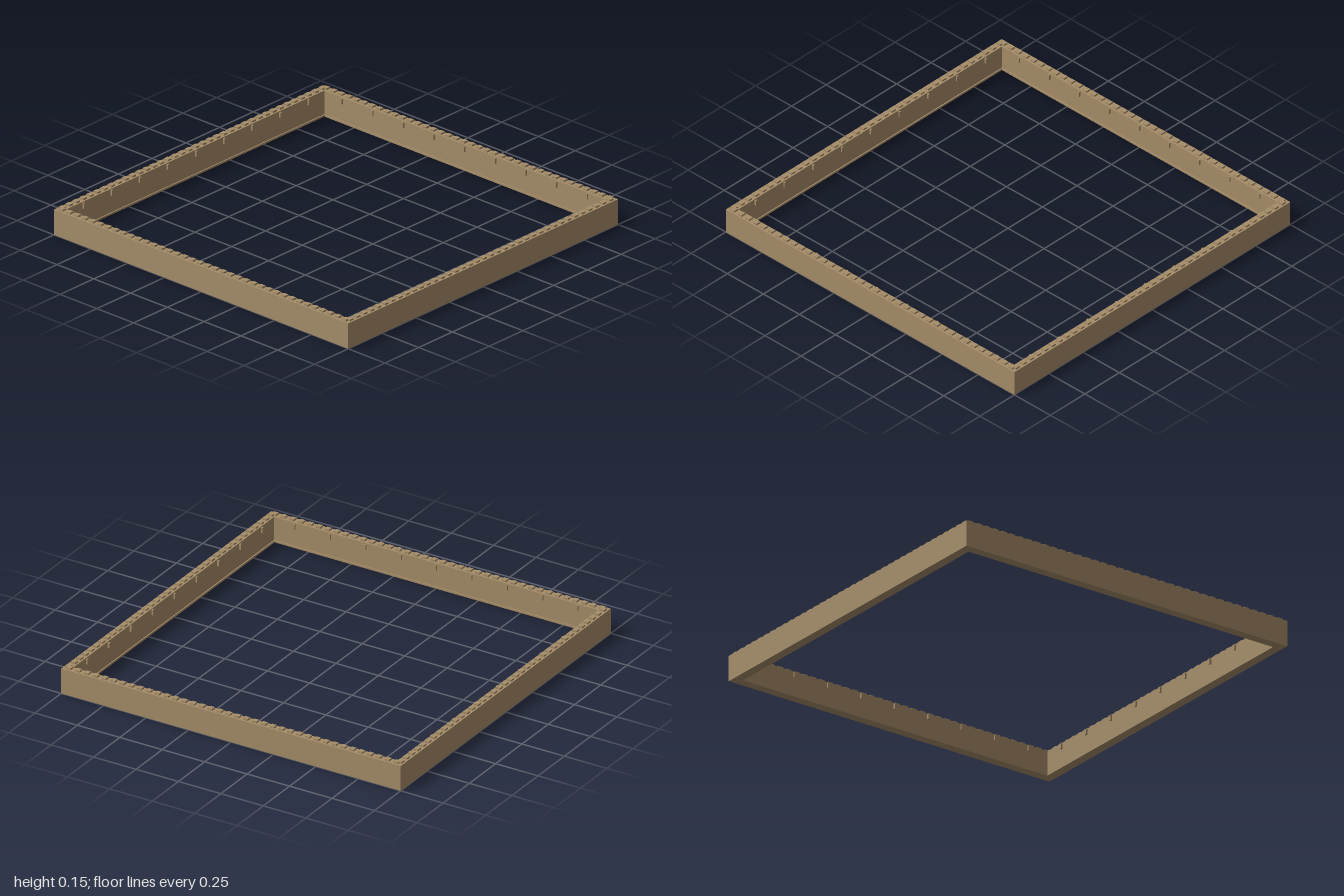
import * as THREE from 'three';

const HALF = 1, WALL = 0.045, HEIGHT = 0.14, PITCH = 0.0521;

// Square ring lying in the ground plane, extruded upwards
function squareRing(outer, inner, height) {
  const square = (Type, r) => new Type([[-r, -r], [r, -r], [r, r], [-r, r]].map(([x, y]) => new THREE.Vector2(x, y)));
  const shape = square(THREE.Shape, outer);
  shape.holes.push(square(THREE.Path, inner));
  return new THREE.ExtrudeGeometry(shape, { depth: height, bevelEnabled: false }).rotateX(-Math.PI / 2);
}

export function createModel() {
  const model = new THREE.Group();
  model.name = 'squareFrame';
  const material = new THREE.MeshStandardMaterial({ color: 0xa58c68, flatShading: true });
  const add = (parent, geometry, name, x = 0, y = 0, z = 0) => {
    const mesh = new THREE.Mesh(geometry, material);
    mesh.name = name;
    mesh.position.set(x, y, z);
    parent.add(mesh);
  };

  // Four walls and the narrow ledge round their inner foot
  add(model, squareRing(HALF, HALF - WALL, HEIGHT), 'walls');
  add(model, squareRing(HALF - WALL, HALF - WALL - 0.006, 0.01), 'innerLedge');

  // Each side carries a row of teeth on top and small ribs inside
  const tooth = new THREE.BoxGeometry(0.027, 0.01, 0.027);
  const rib = new THREE.BoxGeometry(0.01, 0.03, 0.01);
  for (let s = 0; s < 4; s++) {
    const side = new THREE.Group();
    side.name = ['front', 'left', 'back', 'right'][s] + 'Side';
    side.rotation.y = s * Math.PI / 2;
    for (let i = 0; i < 38; i++) {
      add(side, tooth, 'tooth', (i - 18.5) * PITCH, HEIGHT + 0.005, HALF - WALL / 2);
    }
    for (let i = -4; i <= 4; i++) {
      add(side, rib, 'innerRib', i * 4 * PITCH, HEIGHT - 0.02, HALF - WALL - 0.005);
    }
    model.add(side);
  }
  return model;
}
